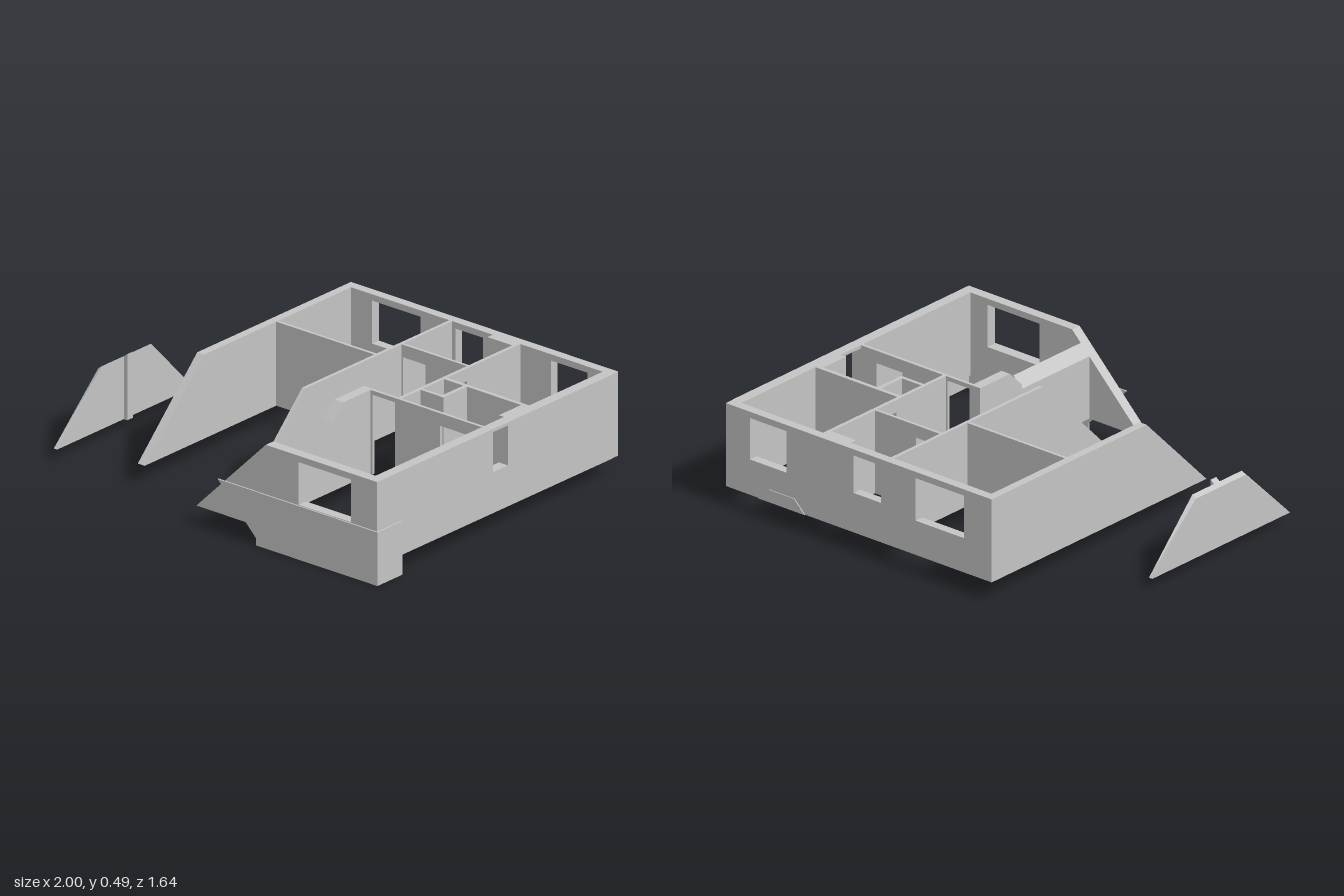
import * as THREE from 'three';

const plaster = new THREE.MeshStandardMaterial({ color: 0xc4c4c4 });
plaster.name = 'plaster';

const BASE = 0.09, TOP = 0.49;

// rectangle outline in (along, height)
const rect = (a0, a1, y0 = BASE, y1 = TOP) => [[a0, y0], [a1, y0], [a1, y1], [a0, y1]];

function extrude(points, holes, depth) {
  const toVectors = (list) => list.map(([a, b]) => new THREE.Vector2(a, b));
  const shape = new THREE.Shape(toVectors(points));
  holes.forEach((h) => shape.holes.push(new THREE.Path(toVectors(h))));
  return new THREE.ExtrudeGeometry(shape, { depth, bevelEnabled: false });
}

// wall running along x, thickness z0..z1
function wallX(points, z0, z1, holes = []) {
  return extrude(points, holes, z1 - z0).translate(0, 0, z0);
}

// wall running along z, thickness x0..x1
function wallZ(points, x0, x1, holes = []) {
  return extrude(points, holes, x1 - x0).rotateY(-Math.PI / 2).translate(x1, 0, 0);
}

// wall outline along x with doorways notched up from the floor: [start, end, head height]
function withDoors(x0, x1, doors) {
  const pts = [[x0, BASE]];
  doors.forEach(([a, b, head]) => pts.push([a, BASE], [a, head], [b, head], [b, BASE]));
  return [...pts, [x1, BASE], [x1, TOP], [x0, TOP]];
}

// raise high vertices so the top follows a roof rising along x
function slopeTop(geo, above, rule) {
  const p = geo.attributes.position;
  for (let i = 0; i < p.count; i++) {
    if (p.getY(i) > above) p.setY(i, rule(p.getX(i)));
  }
  geo.computeVertexNormals();
  return geo;
}

export function createModel() {
  const model = new THREE.Group();
  model.name = 'houseWalls';
  const add = (name, geo) => {
    const mesh = new THREE.Mesh(geo, plaster);
    mesh.name = name;
    model.add(mesh);
  };

  // outer walls
  add('backWall', wallX(rect(-0.55, 0.99), -0.815, -0.77, [
    rect(-0.39, -0.11, 0.255, 0.46),
    rect(0.09, 0.25, 0.28, 0.46),
    rect(0.64, 0.85, 0.26, 0.46),
  ]));
  add('leftSideWall', wallZ(rect(-0.77, 0.81), 0.94, 0.992, [rect(-0.07, 0.03, 0.285, 0.475)]));
  add('frontWall', wallX(
    [[-0.05, BASE], [0.94, BASE], [0.94, TOP], [0.35, TOP]], 0.76, 0.81,
    [rect(0.54, 0.84, 0.257, 0.46)]));
  const raked = [[-0.77, BASE], [0.62, BASE], [0.22, TOP], [-0.77, TOP]];
  add('rightSideWall', wallZ(raked, -0.55, -0.51));
  add('hallWall', wallZ(raked, 0.055, 0.072));

  // thin cladding at the front corner, reaching down to the ground
  add('frontCladding', wallX(
    [[0.08, 0.255], [0.3, 0.035], [0.3, 0], [1, 0], [1, 0.255]], 0.811, 0.818));
  add('sideCladding', wallZ(rect(0.65, 0.811, 0, 0.255), 0.993, 1));
  add('backCladding', wallX(
    [[0.53, BASE], [0.8, BASE], [0.74, 0.15], [0.59, 0.15]], -0.82, -0.8155));

  // partitions
  add('rightRoomPartition', wallX(rect(-0.51, 0.055), -0.28, -0.265));
  add('backHallPartition', wallX(withDoors(0.072, 0.447, [[0.08, 0.21, 0.43]]), -0.445, -0.43));
  add('bedroomPartition', wallX(rect(0.465, 0.94), -0.275, -0.255));
  add('bathroomPartition', wallX(
    withDoors(0.3, 0.94, [[0.31, 0.44, 0.47], [0.7, 0.85, 0.43]]), 0.03, 0.046));
  add('middlePartition', wallZ(withDoors(-0.77, 0.03, [[-0.41, -0.3, 0.43]]), 0.447, 0.465));
  add('closetFront', wallX(rect(0.465, 0.597), -0.115, -0.097));
  add('closetSide', wallZ(rect(-0.255, -0.115), 0.577, 0.597));
  add('pipeCasing', wallZ(rect(-0.255, -0.105), 0.91, 0.94));
  add('chimneyBreast', wallX(rect(0.305, 0.447), -0.77, -0.735));

  // wall under the side roof: full height at the back, bevelled towards the front
  add('frontRoomWallHigh', wallZ([[0.03, BASE], [0.31, BASE], [0.31, 0.41], [0.23, TOP], [0.03, TOP]], 0.25, 0.3));
  add('frontRoomWallLow', slopeTop(
    wallZ(rect(0.31, 0.76), 0.25, 0.3).toNonIndexed?.() ?? wallZ(rect(0.31, 0.76), 0.25, 0.3),
    0.2, (x) => x + 0.14));

  // detached knee wall with its post
  const roof = (x) => 0.335 + 0.75 * (x + 1);
  add('kneeWall', slopeTop(
    wallZ([[-0.26, 0.05], [0.66, 0.05], [0.36, 0.34], [0.03, 0.34]], -1, -0.98), 0.2, roof));
  add('kneeWallPost', slopeTop(wallZ(rect(0.175, 0.212, 0.05, 0.34), -0.98, -0.96), 0.2, roof));

  return model;
}
